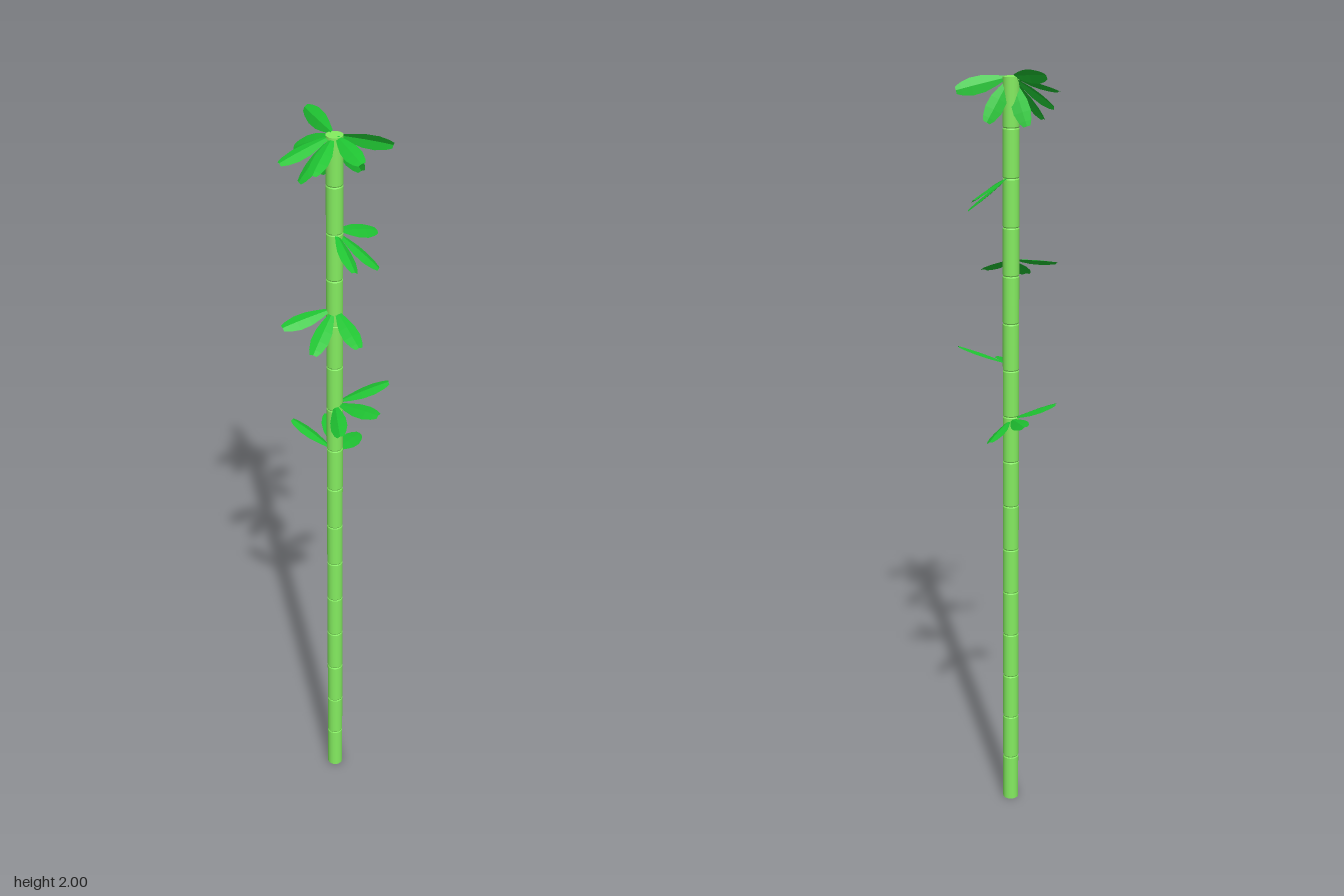
import * as THREE from 'three';

const STEM_X = -0.008, STEM_Z = 0.002, RADIUS = 0.021, HEIGHT = 1.976, PITCH = 0.1232, FIRST = 0.128;
const stemMat = new THREE.MeshStandardMaterial({ color: 0x84ec60 });
const leafMat = new THREE.MeshStandardMaterial({ color: 0x1fc432, flatShading: true, side: THREE.DoubleSide });

// Lathe profile with a shallow groove at every node
function stemGeometry() {
  const pts = [[0, 0], [RADIUS, 0]];
  for (let y = FIRST; y < HEIGHT - 0.05; y += PITCH) {
    pts.push([RADIUS, y - 0.003], [RADIUS * 0.92, y], [RADIUS, y + 0.003]);
  }
  pts.push([RADIUS, HEIGHT], [0, HEIGHT]);
  const geo = new THREE.LatheGeometry(pts.map(p => new THREE.Vector2(...p)), 16).toNonIndexed();
  // smooth around the stem, sharp along the profile
  const pos = geo.attributes.position, nor = geo.attributes.normal;
  const a = new THREE.Vector3(), b = new THREE.Vector3(), c = new THREE.Vector3();
  for (let i = 0; i < pos.count; i += 3) {
    a.fromBufferAttribute(pos, i);
    b.fromBufferAttribute(pos, i + 1).sub(a);
    c.fromBufferAttribute(pos, i + 2).sub(a);
    const n = b.cross(c).normalize();
    const radial = Math.hypot(n.x, n.z);
    for (let k = i; k < i + 3; k++) {
      const r = Math.hypot(pos.getX(k), pos.getZ(k)) || 1;
      nor.setXYZ(k, pos.getX(k) / r * radial, n.y, pos.getZ(k) / r * radial);
    }
  }
  return geo;
}

// Unit-length leaf along +x: narrow root, widest past the middle, blunt tip, raised midrib
function leafGeometry() {
  const rows = [[0.1, 0.005], [0.3, 0.014], [0.5, 0.021], [0.72, 0.022], [0.9, 0.016], [1, 0.009]];
  const v = [], idx = [];
  rows.forEach(([x, w], i) => {
    const lift = w * 0.14;
    v.push(x, -lift, -w, x, lift, 0, x, -lift, w);
    if (!i) return;
    for (let j = 0; j < 2; j++) {
      const p = (i - 1) * 3 + j, q = i * 3 + j;
      idx.push(p, p + 1, q, q, p + 1, q + 1);
    }
  });
  const geo = new THREE.BufferGeometry();
  geo.setAttribute('position', new THREE.Float32BufferAttribute(v, 3));
  geo.setIndex(idx);
  geo.computeVertexNormals();
  return geo;
}

// Root height and the three leaf tips of each fan; its leaves share one plane
const fans = [
  { name: 'lowestSpray', y: 1.105, tips: [[-0.015, 1.08, -0.13], [-0.1, 1.125, -0.105], [-0.133, 1.16, 0.01]] },
  { name: 'lowSpray', y: 1.25, tips: [[0.1, 1.305, -0.08], [0.132, 1.27, 0.02], [0.075, 1.235, 0.105]] },
  { name: 'middleSpray', y: 1.525, tips: [[-0.083, 1.5, 0.117], [0.012, 1.46, 0.128], [0.1, 1.475, 0.062]] },
  { name: 'upperSpray', y: 1.735, tips: [[0.03, 1.69, -0.127], [0.093, 1.645, -0.035], [0.092, 1.68, 0.07]] },
  { name: 'crownLeftSpray', y: 1.976, tips: [[-0.133, 1.99, -0.064], [-0.13, 1.91, -0.012], [-0.065, 1.868, 0.065]] },
  { name: 'crownBackSpray', y: 1.976, tips: [[0.1, 1.945, -0.08], [0.027, 1.87, -0.06], [-0.058, 1.86, -0.012]] },
  { name: 'crownFrontSpray', y: 1.978, tips: [[-0.083, 1.93, 0.117], [0.014, 1.928, 0.127], [0.102, 1.953, 0.06]] },
];

export function createModel() {
  const model = new THREE.Group();
  const stem = new THREE.Mesh(stemGeometry(), stemMat);
  stem.name = 'stem';
  stem.position.set(STEM_X, 0, STEM_Z);
  model.add(stem);

  const leafGeo = leafGeometry();
  for (const { name, y, tips } of fans) {
    const spray = new THREE.Group();
    spray.name = name;
    spray.position.set(STEM_X, y, STEM_Z);
    const dirs = tips.map(t => new THREE.Vector3(...t).sub(spray.position));
    const up = new THREE.Vector3().crossVectors(dirs[0], dirs[2]).normalize();
    if (up.y < 0) up.negate();
    for (const d of dirs) {
      const along = d.clone().normalize();
      const side = new THREE.Vector3().crossVectors(along, up).normalize();
      const normal = new THREE.Vector3().crossVectors(side, along);
      const leaf = new THREE.Mesh(leafGeo, leafMat);
      leaf.name = 'leaf';
      leaf.quaternion.setFromRotationMatrix(new THREE.Matrix4().makeBasis(along, normal, side));
      leaf.scale.x = d.length();
      spray.add(leaf);
    }
    model.add(spray);
  }
  return model;
}
